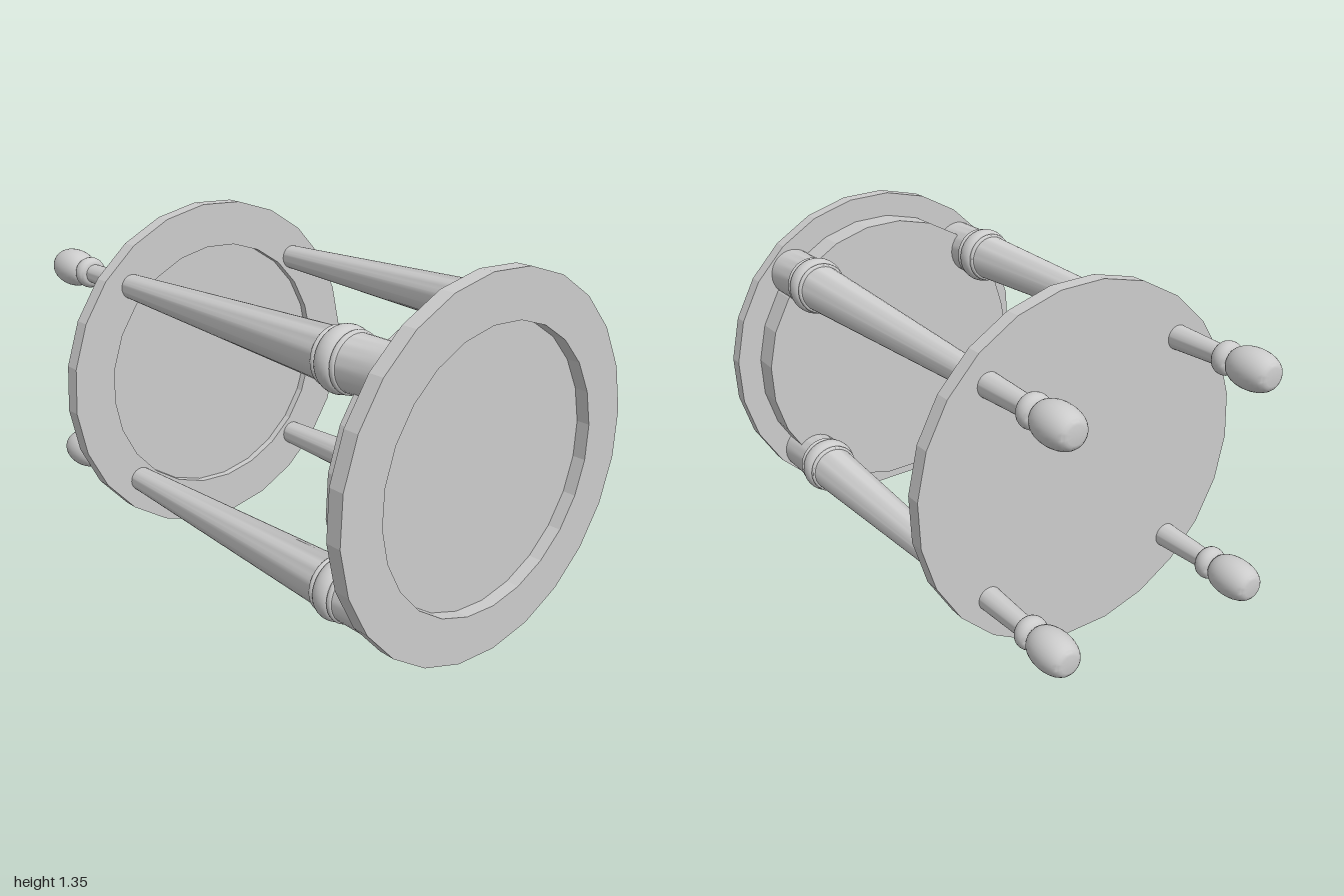
import * as THREE from 'three';
import { toCreasedNormals } from 'three/addons/utils/BufferGeometryUtils.js';

const CENTRE_Y = 0.675;

// Turned solid around the z axis; profile is [radius, z] from front to back
function turned(profile, sides, phase = 0) {
  const points = profile.map(([r, z]) => new THREE.Vector2(r, -z));
  return new THREE.LatheGeometry(points, sides, phase).rotateX(-Math.PI / 2);
}

// Rounded bead profile: from radius base at z0, out by bulge, to radius end at z1
function bead(z0, z1, base, bulge, end = base, steps = 10) {
  return Array.from({ length: steps + 1 }, (_, i) => {
    const t = i / steps;
    const r = base + (end - base) * t + bulge * Math.sin(Math.PI * t);
    return [r, z0 + (z1 - z0) * (1 - Math.cos(Math.PI * t)) / 2];
  });
}

export function createModel() {
  const group = new THREE.Group();
  const facetMaterial = new THREE.MeshStandardMaterial({ color: 0xcccccc, flatShading: true });
  const smoothMaterial = new THREE.MeshStandardMaterial({ color: 0xcccccc });

  function addDisc(name, profile) {
    const mesh = new THREE.Mesh(turned(profile, 24, THREE.MathUtils.degToRad(-4.7)), facetMaterial);
    mesh.name = name;
    mesh.position.y = CENTRE_Y;
    group.add(mesh);
  }

  // Round plate with a shallow recess in its front face
  const plate = (front, back, depth) => [
    [0, front - depth], [0.505, front - depth], [0.505, front],
    [0.677, front], [0.677, back], [0, back],
  ];
  addDisc('tableTop', plate(1, 0.94, 0.05));
  addDisc('lowerShelf', plate(-0.48, -0.54, 0.03));
  addDisc('apron', [[0.58, 0.94], [0.58, 0.83], [0, 0.83]]);

  // Turned leg: block, ringed collar, long taper, small bead and egg-shaped foot
  const legProfile = [
    [0, 0.94], [0.097, 0.94], [0.097, 0.772],
    ...bead(0.772, 0.75, 0.097, 0.008, 0.097, 6),
    ...bead(0.75, 0.68, 0.094, 0.019),
    ...bead(0.68, 0.66, 0.095, 0.007, 0.095, 6),
    [0.092, 0.66], [0.037, -0.755],
    ...bead(-0.755, -0.82, 0.037, 0.025, 0.035),
    ...bead(-0.82, -1, 0.035, 0.04, 0.032, 14),
    [0, -1],
  ];
  // Drop repeated points where two sections meet
  const cleanProfile = legProfile.filter((p, i, all) =>
    i === 0 || Math.hypot(p[0] - all[i - 1][0], p[1] - all[i - 1][1]) > 1e-5);
  const legGeometry = toCreasedNormals(turned(cleanProfile, 32), Math.PI / 5);

  for (const sx of [-1, 1]) {
    for (const sy of [-1, 1]) {
      const leg = new THREE.Mesh(legGeometry, smoothMaterial);
      leg.name = `${sy > 0 ? 'upper' : 'lower'}${sx > 0 ? 'Left' : 'Right'}Leg`;
      leg.position.set(sx * 0.4, CENTRE_Y + sy * 0.4, 0);
      group.add(leg);
    }
  }
  return group;
}
